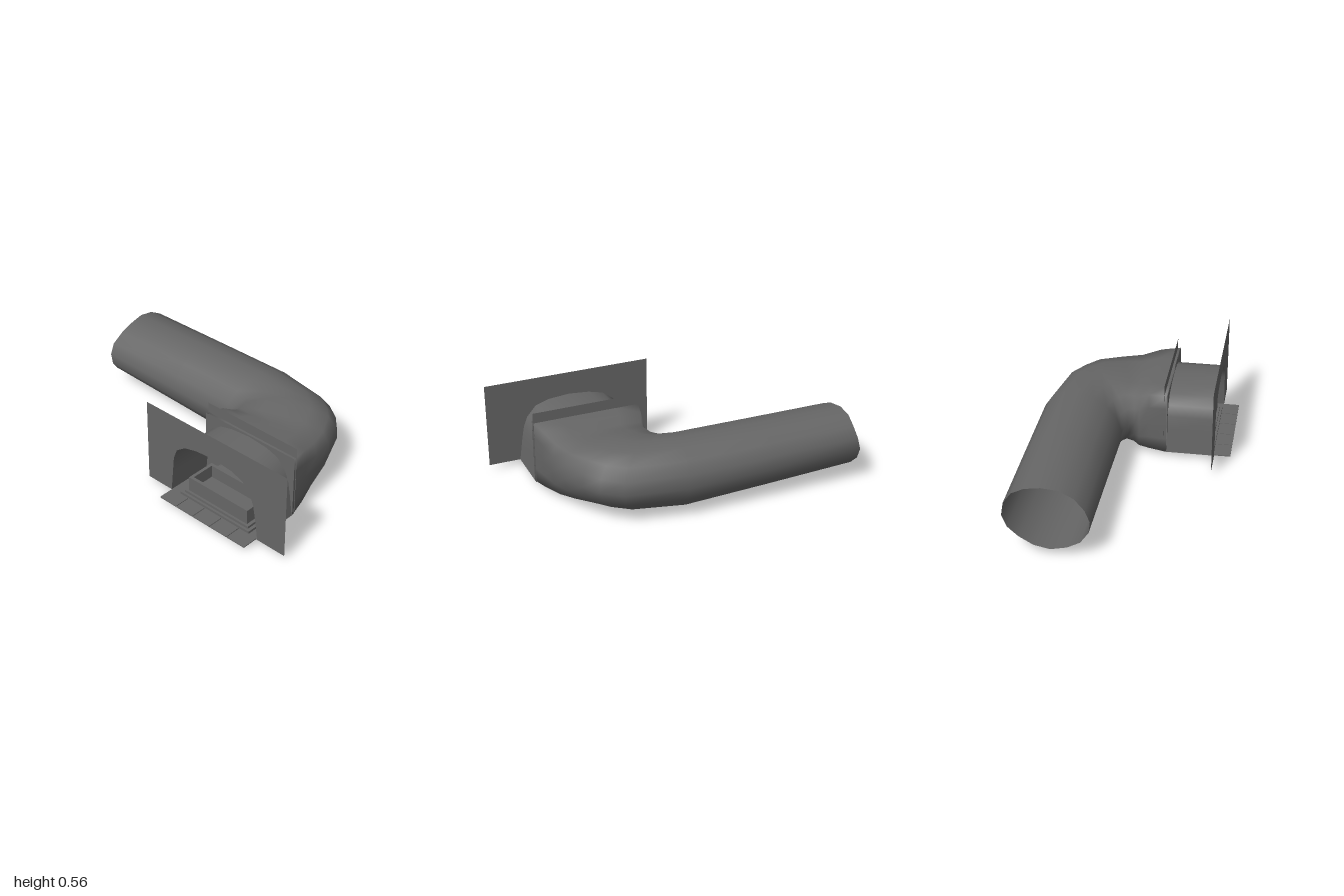
import * as THREE from 'three';

export function createModel() {
  const model = new THREE.Group();
  const stone = new THREE.MeshStandardMaterial({ color: 0x666666, side: THREE.DoubleSide });
  stone.name = 'dark grey stone';

  const add = (name, geometry, x = 0, y = 0, z = 0, parent = model) => {
    const mesh = new THREE.Mesh(geometry, stone);
    mesh.name = name;
    mesh.position.set(x, y, z);
    parent.add(mesh);
    return mesh;
  };
  // Box given by its minimum and maximum corners
  const box = (name, x0, y0, z0, x1, y1, z1, parent) =>
    add(name, new THREE.BoxGeometry(x1 - x0, y1 - y0, z1 - z0),
      (x0 + x1) / 2, (y0 + y1) / 2, (z0 + z1) / 2, parent);
  const flat = (points) =>
    new THREE.ShapeGeometry(new THREE.Shape(points.map(([x, y]) => new THREE.Vector2(x, y))));

  // Smooth skin over a row of equal-length cross-sections
  const loft = (rings, closed) => {
    const n = rings[0].length, index = [];
    const steps = closed ? n : n - 1;
    for (let r = 0; r < rings.length - 1; r++) {
      for (let i = 0; i < steps; i++) {
        const a = r * n + i, b = r * n + (i + 1) % n;
        index.push(a, b, a + n, b, b + n, a + n);
      }
    }
    const g = new THREE.BufferGeometry();
    g.setAttribute('position', new THREE.Float32BufferAttribute(rings.flat(2), 3));
    g.setIndex(index);
    g.computeVertexNormals();
    return g;
  };

  // Arch outline, left foot over the crown to right foot
  const arch = [[0.137, 0.03], [0.15, 0.17], [0.16, 0.27], [0.185, 0.335], [0.25, 0.382], [0.34, 0.405],
    [0.47, 0.416], [0.6, 0.405], [0.685, 0.378], [0.745, 0.31], [0.768, 0.25], [0.783, 0.17], [0.803, 0.03]];

  // Front wall with the arched opening, and the arch lining behind it
  add('frontWall', flat([[-0.05, 0.03], ...arch, [1, 0.03], [1, 0.56], [-0.05, 0.56]]), 0, 0, 0.48);
  add('archLining', loft([0.48, 0.18].map((z) => arch.map(([x, y]) => [x, y, z])), false));
  const floor = new THREE.PlaneGeometry(0.67, 0.3).rotateX(-Math.PI / 2);
  add('archFloor', floor, 0.47, 0.031, 0.33);

  // Row of hearth tiles in front
  const tiles = new THREE.Group();
  tiles.name = 'hearthTiles';
  model.add(tiles);
  for (let i = 0; i < 5; i++) {
    const x = 0.142 + i * 0.1312;
    box('hearthTile', x, 0.029, 0.48, x + 0.127, 0.035, 0.58, tiles);
  }

  // Two back panels with a broken brick-stepped opening
  const leftSteps = [[0.21, 0.07], [0.22, 0.1], [0.25, 0.13], [0.21, 0.17], [0.23, 0.21], [0.21, 0.24], [0.25, 0.27], [0.22, 0.35], [0.25, 0.37]];
  const rightSteps = [[0.76, 0.065], [0.72, 0.1], [0.75, 0.13], [0.69, 0.17], [0.71, 0.2], [0.68, 0.24], [0.7, 0.28], [0.66, 0.37]];
  const stair = (steps) => {
    let y = 0.03;
    return steps.flatMap(([x, top]) => {
      const pair = [[x, y], [x, top]];
      y = top;
      return pair;
    });
  };
  const brokenPanel = (name, z, top) =>
    add(name, flat([[0.135, 0.03], ...stair(leftSteps), [0.36, 0.38], [0.47, 0.388], [0.57, 0.385],
      ...stair(rightSteps).reverse(), [0.805, 0.03], [0.805, top], [0.135, top]]), 0, 0, z);
  brokenPanel('brokenPanel', 0.185, 0.425);
  brokenPanel('rearBrokenPanel', 0.165, 0.485);

  // Stepped grate base and the open-topped fire basket
  const hearth = new THREE.Group();
  hearth.name = 'fireBasket';
  model.add(hearth);
  box('grateBase', 0.205, 0.032, 0.22, 0.735, 0.047, 0.475, hearth);
  box('grateStep', 0.225, 0.047, 0.235, 0.715, 0.062, 0.46, hearth);
  box('basketFloor', 0.245, 0.062, 0.255, 0.695, 0.075, 0.445, hearth);
  for (const z of [0.255, 0.425]) box('basketLongSide', 0.245, 0.062, z, 0.695, 0.155, z + 0.02, hearth);
  for (const x of [0.245, 0.675]) box('basketShortSide', x, 0.062, 0.275, x + 0.02, 0.155, 0.425, hearth);

  // Tunnel stations: inner x, z, outer x, z, bottom, top, squareness
  const stations = [
    [0.137, 0.18, 0.803, 0.18, 0.03, 0.422, 1],
    [0.143, 0.07, 0.79, 0.06, 0.03, 0.42, 0.85],
    [0.14, 0.01, 0.775, -0.06, 0.022, 0.402, 0.6],
    [0.132, -0.015, 0.75, -0.2, 0.035, 0.41, 0.38],
    [0.11, -0.042, 0.69, -0.35, 0.045, 0.425, 0.2],
    [0.09, -0.055, 0.62, -0.44, 0.03, 0.425, 0.08],
    [0.06, -0.07, 0.51, -0.52, 0.015, 0.428, 0],
    [0.03, -0.08, 0.14, -0.583, 0.0, 0.43, 0],
    [-0.4, -0.083, -0.4, -0.58, 0.02, 0.424, 0],
    [-0.978, -0.085, -0.978, -0.575, 0.045, 0.417, 0],
  ];
  const { clamp, lerp } = THREE.MathUtils;
  const rings = stations.map(([xi, zi, xo, zo, low, high, square], s) =>
    Array.from({ length: 16 }, (_, i) => {
      const t = Math.PI * (1.25 - i / 8);
      const c = Math.cos(t), n = Math.sin(t);
      // The round section leans slightly outward at the top
      const u = 0.5 + 0.5 * lerp(c + 0.1 * n, clamp(c * Math.SQRT2, -1, 1), square);
      const v = 0.5 + 0.5 * lerp(n, clamp(n * Math.SQRT2, -1, 1), square);
      // Slanted, uneven rim at the far end
      const rim = s === stations.length - 1 ? 0.03 * (v - 0.5) + 0.007 * Math.sin(i * 1.7) : 0;
      return [xi + (xo - xi) * u + rim, low + (high - low) * v, zi + (zo - zi) * u];
    }));
  add('tunnel', loft(rings, true));

  return model;
}
